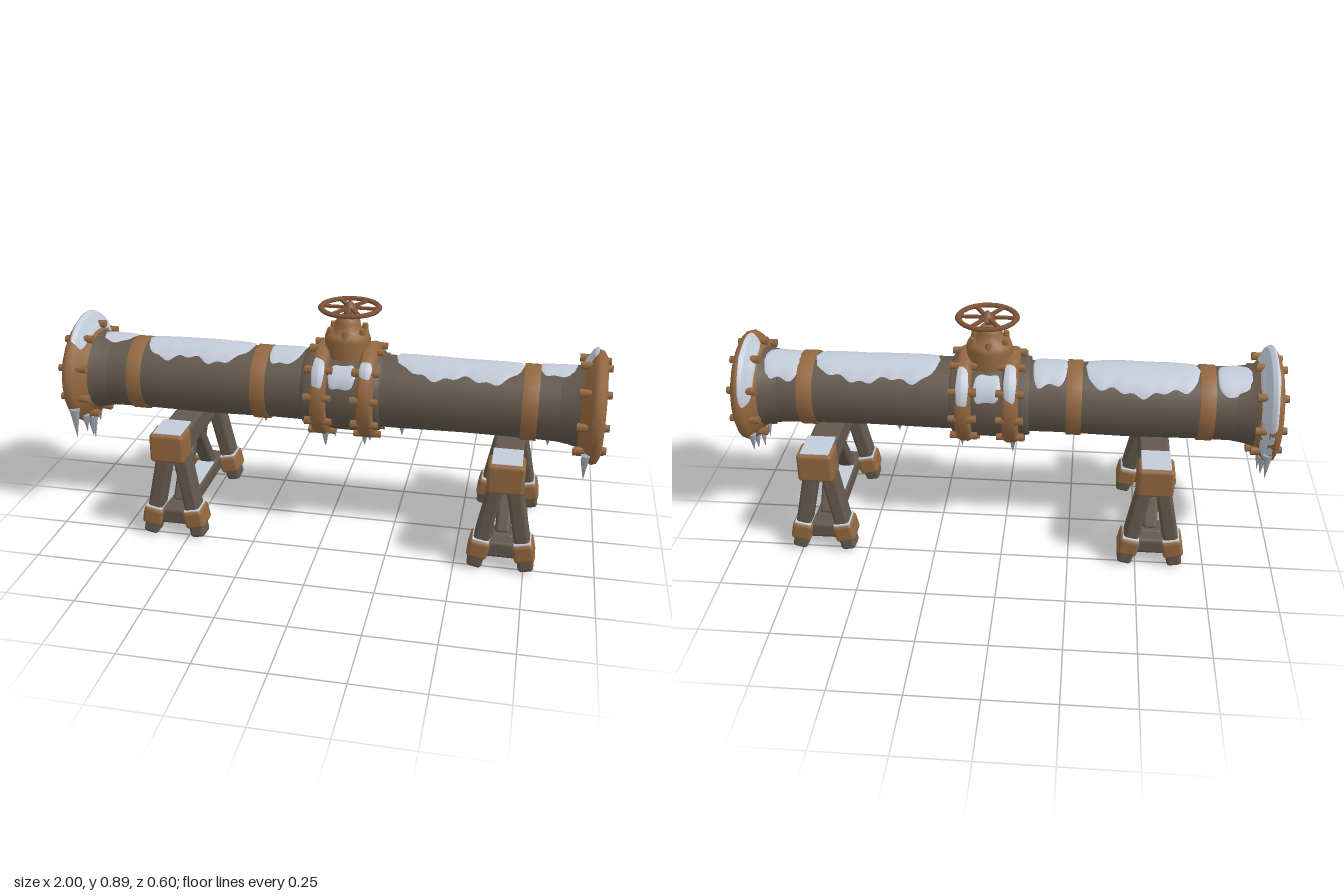
import * as THREE from 'three';
import { RoundedBoxGeometry } from 'three/addons/geometries/RoundedBoxGeometry.js';
import { ParametricGeometry } from 'three/addons/geometries/ParametricGeometry.js';

const material = (name, color, side = THREE.FrontSide) => {
  const m = new THREE.MeshStandardMaterial({ color, side });
  m.name = name;
  return m;
};

export function createModel() {
  const rust = material('rust', 0x936840);
  const iron = material('dark iron', 0x62584d);
  const wheelRust = material('dark rust', 0x7c5236);
  const snow = material('snow', 0xc3cbd8, THREE.DoubleSide);
  const ice = material('ice', 0xa3a9b5);

  const model = new THREE.Group();
  model.name = 'valvePipeline';
  const pipe = new THREE.Group();
  pipe.name = 'pipe';
  pipe.position.y = 0.553;
  model.add(pipe);

  const add = (parent, name, geometry, mat, x = 0, y = 0, z = 0) => {
    const mesh = new THREE.Mesh(geometry, mat);
    mesh.name = name;
    mesh.position.set(x, y, z);
    parent.add(mesh);
    return mesh;
  };
  const group = (parent, name, x = 0, y = 0, z = 0) => {
    const g = new THREE.Group();
    g.name = name;
    g.position.set(x, y, z);
    parent.add(g);
    return g;
  };
  // Revolves [x, radius] pairs around the x axis
  const turned = (profile, sides = 24) => new THREE.LatheGeometry(
    profile.map(([x, r]) => new THREE.Vector2(r, x)), sides).rotateZ(-Math.PI / 2);
  const box = (w, h, d, r = 0.014) => new RoundedBoxGeometry(w, h, d, 2, r);

  // Pipe barrel and its painted bands
  const barrel = [[-0.88, 0.136], [-0.7, 0.133], [-0.45, 0.136], [-0.2, 0.131],
    [0.25, 0.134], [0.5, 0.13], [0.75, 0.132], [0.88, 0.136]];
  add(pipe, 'barrel', turned(barrel), iron);
  for (const [a, b] of [[-0.755, -0.7], [-0.28, -0.225], [0.7, 0.757]]) {
    add(pipe, 'band', turned([[a, 0.13], [a, 0.139], [b, 0.139], [b, 0.13]]), rust);
  }

  // Ring of hexagonal bolts with their axis along x
  const bolts = (parent, x, length, radius, count, size = 0.014, phase = 0.2) => {
    const g = new THREE.CylinderGeometry(size * 0.85, size, length, 6).rotateZ(-Math.PI / 2);
    for (let i = 0; i < count; i++) {
      const a = phase + (i / count) * Math.PI * 2;
      add(parent, 'bolt', g, rust, x, Math.cos(a) * radius, Math.sin(a) * radius);
    }
  };

  // Flared end flanges with a blind bore
  const flangeProfile = [[0.9, 0.148], [0.92, 0.17], [0.937, 0.197], [0.955, 0.206],
    [0.972, 0.2], [0.983, 0.18], [0.985, 0.155], [0.977, 0.13], [0.96, 0.115], [0.94, 0.11]];
  for (const side of [1, -1]) {
    const end = group(pipe, side > 0 ? 'leftEnd' : 'rightEnd');
    end.rotation.y = side > 0 ? 0 : Math.PI;
    end.scale.z = side > 0 ? 1.03 : 1.07;
    add(end, 'flare', turned([[0.83, 0.134], [0.87, 0.14], [0.9, 0.148]]), iron);
    add(end, 'flange', turned(flangeProfile), rust);
    add(end, 'bore', turned([[0.94, 0.11], [0.75, 0.108], [0.72, 0.08], [0.71, 0]]), iron);
    bolts(end, 0.983, 0.034, 0.165, 9, 0.015);
    bolts(end, 0.915, 0.05, 0.172, 9, 0.015);
  }

  // Valve body with two bolted collars
  const valve = group(pipe, 'valve', 0.06);
  add(valve, 'valveBody', turned([[-0.15, 0.13], [-0.15, 0.145], [-0.12, 0.15], [-0.08, 0.148],
    [-0.03, 0.156], [0.03, 0.156], [0.08, 0.15], [0.13, 0.148], [0.14, 0.13]]), iron);
  for (const x of [-0.083, 0.087]) {
    add(valve, 'collar', turned([[x - 0.032, 0.14], [x - 0.027, 0.17], [x - 0.014, 0.178],
      [x + 0.014, 0.178], [x + 0.027, 0.17], [x + 0.032, 0.14]]), rust);
    bolts(valve, x, 0.1, 0.163, 10, 0.015);
  }

  // Bonnet, stem and handwheel
  const bonnetProfile = [[0.085, 0.12], [0.085, 0.2], [0.078, 0.222], [0.05, 0.228], [0.046, 0.26],
    [0.036, 0.272], [0.024, 0.285], [0, 0.288]].map(([r, y]) => new THREE.Vector2(r, y));
  add(valve, 'bonnet', new THREE.LatheGeometry(bonnetProfile, 12), rust);
  for (let i = 0; i < 6; i++) {
    const a = i * Math.PI / 3 + 0.5;
    add(valve, 'bonnetBolt', new THREE.CylinderGeometry(0.011, 0.014, 0.03, 6), rust,
      Math.cos(a) * 0.067, 0.228, Math.sin(a) * 0.067);
  }
  const stem = add(valve, 'stem', new THREE.CylinderGeometry(0.013, 0.016, 0.05, 8), wheelRust, 0, 0.295, 0);
  stem.rotation.x = -0.25;
  const wheel = group(valve, 'handwheel', 0.007, 0.312, 0);
  const rim = add(wheel, 'wheelRim', new THREE.TorusGeometry(0.104, 0.012, 6, 24).rotateX(Math.PI / 2), wheelRust);
  rim.scale.y = 0.65;
  add(wheel, 'wheelHub', new THREE.CylinderGeometry(0.006, 0.032, 0.03, 10), wheelRust, 0, 0.008, 0);
  for (let i = 0; i < 6; i++) {
    const spoke = group(wheel, 'spoke');
    spoke.rotation.y = i * Math.PI / 3;
    add(spoke, 'spokeBar', new THREE.BoxGeometry(0.1, 0.009, 0.014), wheelRust, 0.05, 0, 0);
  }

  // Square bar between two points
  const strut = (parent, name, a, b, w, d, mat) => {
    const from = new THREE.Vector3(...a), to = new THREE.Vector3(...b);
    const dir = to.clone().sub(from);
    const mesh = add(parent, name, box(w, dir.length(), d), mat);
    mesh.position.copy(from).add(to).multiplyScalar(0.5);
    mesh.quaternion.setFromUnitVectors(new THREE.Vector3(0, 1, 0), dir.normalize());
  };

  // Two trestle stands
  for (const x of [-0.552, 0.667]) {
    const stand = group(model, 'stand', x);
    add(stand, 'topBeam', box(0.11, 0.092, 0.5), iron, 0, 0.374, 0);
    add(stand, 'lowerBeam', box(0.085, 0.064, 0.42), iron, 0, 0.083, 0);
    add(stand, 'lowerBeamSnow', box(0.07, 0.008, 0.28, 0.003), snow, 0, 0.115, 0);
    for (const s of [1, -1]) {
      add(stand, 'beamCap', box(0.13, 0.112, 0.1), rust, 0, 0.379, s * 0.25);
      add(stand, 'beamCapSnow', box(0.106, 0.009, 0.125, 0.004), snow, 0, 0.434, s * 0.224);
      strut(stand, 'brace', [0, 0.1, s * 0.175], [0, 0.34, s * 0.015], 0.055, 0.05, iron);
      add(stand, 'crossBar', box(0.16, 0.064, 0.06), iron, 0, 0.08, s * 0.232);
      for (const k of [1, -1]) {
        strut(stand, 'leg', [k * 0.094, 0.007, s * 0.242], [k * 0.026, 0.35, s * 0.218], 0.056, 0.076, iron);
        const cap = add(stand, 'legCap', box(0.075, 0.072, 0.102), rust, k * 0.08, 0.083, s * 0.233);
        cap.rotation.z = k * 0.2;
        const capSnow = add(stand, 'legCapSnow', box(0.062, 0.009, 0.09, 0.004), snow,
          k * 0.073, 0.119, s * 0.233);
        capSnow.rotation.z = k * 0.2;
      }
    }
  }

  // Snow sheets hugging the turned surfaces, with ragged edges
  const radiusAt = (profile, x) => {
    for (let i = 1; i < profile.length; i++) {
      const [x0, r0] = profile[i - 1], [x1, r1] = profile[i];
      if (x <= x1) return THREE.MathUtils.lerp(r0, r1, Math.max(0, (x - x0) / (x1 - x0)));
    }
    return profile[profile.length - 1][1];
  };
  const snowSheet = (name, x0, x1, tilt, half, profile, sign = 1, cols = 36) => {
    const sheet = (u, v, p) => {
      const x = THREE.MathUtils.lerp(x0, x1, u), side = v * 2 - 1;
      const ends = Math.sqrt(Math.max(0, 1 - Math.abs(u * 2 - 1) ** 5));
      const ragged = 0.86 + 0.09 * Math.sin(x * 31 + side * 2) + 0.06 * Math.sin(x * 83 + side);
      const a = tilt + half * side * ends * ragged;
      const r = radiusAt(profile, x) + 0.003 + 0.006 * (1 - side * side) * ends;
      p.set(sign * x, Math.cos(a) * r, Math.sin(a) * r);
    };
    add(pipe, name, new ParametricGeometry(sheet, cols, 14), snow);
  };
  snowSheet('pipeSnow', -0.7, -0.29, -0.1, 0.95, barrel);
  snowSheet('pipeSnow', -0.225, -0.1, -0.1, 0.85, barrel);
  snowSheet('pipeSnow', -0.89, -0.76, -0.35, 0.7, barrel);
  snowSheet('pipeSnow', 0.24, 0.7, -0.05, 0.9, barrel);
  snowSheet('pipeSnow', 0.75, 0.89, -0.3, 0.75, barrel);
  const rimProfile = flangeProfile.slice(0, 5);
  snowSheet('rightFlangeSnow', 0.905, 0.966, -0.6, 1.7, rimProfile.map(([x, r]) => [x, r * 1.04]), -1, 12);
  snowSheet('leftFlangeSnow', 0.905, 0.955, -0.6, 0.9, rimProfile.map(([x, r]) => [x, r * 1.015]), 1, 12);
  for (const [x, tilt, half] of [[-0.023, 0.9, 0.35], [-0.023, -0.85, 0.45], [0.147, -0.95, 0.45], [0.147, 0.8, 0.2]]) {
    snowSheet('collarSnow', x - 0.024, x + 0.024, tilt, half, [[x - 0.03, 0.174], [x, 0.18], [x + 0.03, 0.174]], 1, 10);
  }
  snowSheet('valveSnow', 0.01, 0.11, 0.95, 0.35, [[0, 0.154], [0.12, 0.154]], 1, 12);
  snowSheet('valveSnow', 0.01, 0.11, -0.95, 0.4, [[0, 0.154], [0.12, 0.154]], 1, 12);

  // Icicles: x, z, root height, length
  const icicles = [
    [-0.95, 0.02, 0.37, 0.11], [-0.935, 0.07, 0.38, 0.09], [-0.955, -0.05, 0.37, 0.07], [-0.93, 0.13, 0.41, 0.07],
    [-0.945, 0.19, 0.46, 0.12], [-0.94, -0.11, 0.4, 0.08], [-0.945, -0.18, 0.45, 0.1],
    [0.94, 0.0, 0.37, 0.09], [0.935, 0.06, 0.37, 0.08], [0.945, -0.06, 0.37, 0.06], [0.93, 0.17, 0.44, 0.09],
    [0.935, -0.14, 0.42, 0.07],
    [-0.02, 0.01, 0.39, 0.08], [-0.01, 0.07, 0.4, 0.06], [-0.03, -0.06, 0.4, 0.06], [0.02, 0.03, 0.41, 0.05],
    [0.15, 0.02, 0.39, 0.04], [0.16, -0.06, 0.41, 0.05], [0.14, 0.08, 0.41, 0.05],
    [0.27, 0.02, 0.425, 0.04], [0.4, -0.03, 0.427, 0.03], [-0.25, 0.02, 0.425, 0.03], [0.8, 0.02, 0.425, 0.03],
  ];
  for (const [x, z, y, length] of icicles) {
    const g = new THREE.ConeGeometry(0.009 + length * 0.09, length, 6).rotateX(Math.PI);
    add(model, 'icicle', g, ice, x, y - length / 2, z);
  }
  return model;
}
